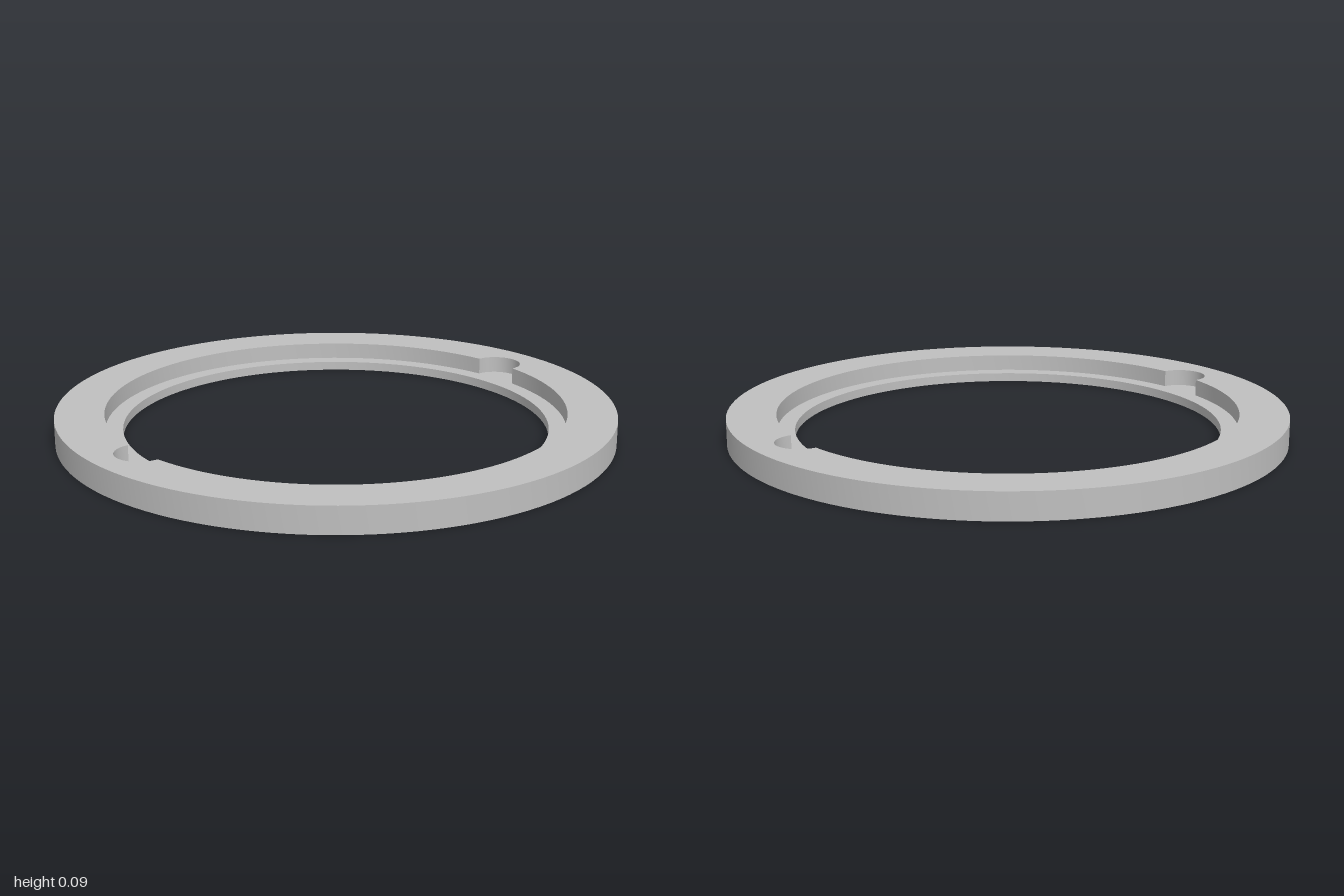
import * as THREE from 'three';
import { toCreasedNormals } from 'three/addons/utils/BufferGeometryUtils.js';

const SEGMENTS = 128;
const OUTER = 1, RECESS = 0.825, BORE = 0.762;
const HEIGHT = 0.094, LEDGE = 0.033;
const NOTCH = 0.09, NOTCH_X = 0.826;

// Points on a circular arc, both ends included
function arc(cx, radius, from, to, steps) {
  return Array.from({ length: steps + 1 }, (_, i) => {
    const a = from + (to - from) * i / steps;
    return new THREE.Vector2(cx + radius * Math.cos(a), radius * Math.sin(a));
  });
}

const circle = (radius) => arc(0, radius, 0, Math.PI * 2, SEGMENTS).slice(0, -1);

// Recess outline, counterclockwise: a circle with a round notch at each side
function recessOutline() {
  const gap = Math.asin(NOTCH / RECESS);
  const half = [
    ...arc(NOTCH_X, NOTCH, -Math.PI / 2, Math.PI / 2, 24),
    ...arc(0, RECESS, gap, Math.PI - gap, 60),
  ];
  return [...half, ...half.map((p) => new THREE.Vector2(-p.x, -p.y))];
}

// Flat, upward-facing plate with a hole
function plate(outline, hole, y) {
  const shape = new THREE.Shape(outline);
  shape.holes.push(new THREE.Path(hole));
  return new THREE.ShapeGeometry(shape).rotateX(-Math.PI / 2).translate(0, y, 0);
}

// Upright wall along a closed outline, facing inward
function inwardWall(outline, y0, y1) {
  const positions = [], index = [], n = outline.length;
  outline.forEach((p, i) => {
    positions.push(p.x, y0, -p.y, p.x, y1, -p.y);
    const a = 2 * i, b = 2 * ((i + 1) % n);
    index.push(a, a + 1, b + 1, a, b + 1, b);
  });
  const geometry = new THREE.BufferGeometry();
  geometry.setAttribute('position', new THREE.Float32BufferAttribute(positions, 3));
  geometry.setIndex(index);
  return toCreasedNormals(geometry, Math.PI / 6);
}

export function createModel() {
  const group = new THREE.Group();
  group.name = 'notchedRing';
  const grey = new THREE.MeshStandardMaterial({ color: 0xbfbfbf });
  grey.name = 'grey';

  const add = (name, geometry) => {
    const mesh = new THREE.Mesh(geometry, grey);
    mesh.name = name;
    group.add(mesh);
  };

  // Bore, underside and outer wall
  const profile = [[BORE, LEDGE], [BORE, 0], [OUTER, 0], [OUTER, HEIGHT]]
    .map(([r, y]) => new THREE.Vector2(r, y));
  add('ringBody', toCreasedNormals(new THREE.LatheGeometry(profile, SEGMENTS), Math.PI / 6));

  // Rim, recess wall with the two notches, and the ledge below
  const outline = recessOutline();
  add('topRim', plate(circle(OUTER), outline, HEIGHT));
  add('recessWall', inwardWall(outline, LEDGE, HEIGHT));
  add('ledge', plate(outline, circle(BORE), LEDGE));

  return group;
}
